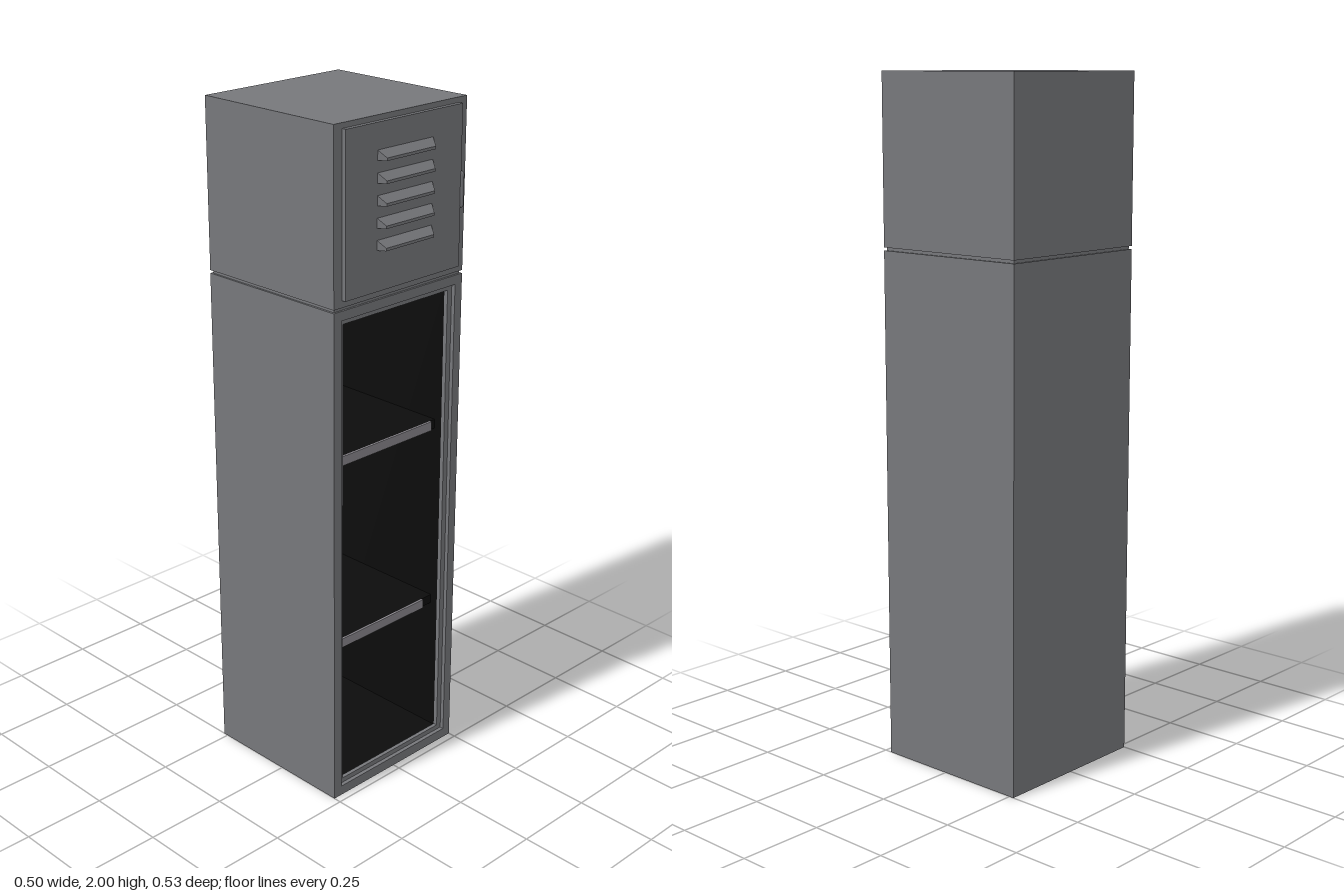
import * as THREE from 'three';

const steel = new THREE.MeshStandardMaterial({ color: 0x76777b });
steel.name = 'steel grey';
const dark = new THREE.MeshStandardMaterial({ color: 0x0c0c0c });
dark.name = 'interior black';
const edge = new THREE.MeshStandardMaterial({ color: 0x89868c });
edge.name = 'shelf edge grey';

function add(parent, name, geometry, material) {
  const mesh = new THREE.Mesh(geometry, material);
  mesh.name = name;
  parent.add(mesh);
  return mesh;
}

// Box given by its minimum and maximum corners
function box(parent, name, [x0, y0, z0], [x1, y1, z1], material = steel) {
  const mesh = add(parent, name, new THREE.BoxGeometry(x1 - x0, y1 - y0, z1 - z0), material);
  mesh.position.set((x0 + x1) / 2, (y0 + y1) / 2, (z0 + z1) / 2);
  return mesh;
}

// Rectangular frame with a rectangular hole, from z0 to z1
function frame(parent, name, [ox, oy0, oy1], [ix, iy0, iy1], z0, z1) {
  const rect = (T, x, a, b) => new T([[-x, a], [x, a], [x, b], [-x, b]].map(p => new THREE.Vector2(...p)));
  const shape = rect(THREE.Shape, ox, oy0, oy1);
  shape.holes.push(rect(THREE.Path, ix, iy0, iy1));
  const geometry = new THREE.ExtrudeGeometry(shape, { depth: z1 - z0, bevelEnabled: false });
  add(parent, name, geometry, steel).position.z = z0;
}

// Hood louvre: sloping top, narrow front lip, tapered ends and a dark underside
function louvreGeometry() {
  const w = 0.105, t = 0.092, back = 0.239, front = 0.262;
  const corners = [
    [-w, 0.014, back], [w, 0.014, back], [w, -0.014, back], [-w, -0.014, back],
    [-t, -0.006, front], [t, -0.006, front], [t, -0.014, front], [-t, -0.014, front],
  ];
  const quads = [[0, 4, 5, 1], [4, 7, 6, 5], [0, 3, 7, 4], [1, 5, 6, 2], [3, 2, 6, 7]];
  const points = quads.flatMap(([a, b, c, d]) => [a, b, c, a, c, d]).flatMap(i => corners[i]);
  const geometry = new THREE.BufferGeometry();
  geometry.setAttribute('position', new THREE.Float32BufferAttribute(points, 3));
  geometry.computeVertexNormals();
  geometry.addGroup(0, 24, 0);
  geometry.addGroup(24, 6, 1);
  return geometry;
}

export function createModel() {
  const locker = new THREE.Group();
  locker.name = 'locker';
  const W = 0.25, back = -0.265, front = 0.227;

  // Closed upper compartment and the recessed seam below it
  box(locker, 'upperCompartment', [-W, 1.512, back], [W, 2, front]);
  box(locker, 'seam', [-W + 0.006, 1.5, back + 0.006], [W - 0.006, 1.514, front - 0.006]);

  // Lower cabinet shell
  const cabinet = new THREE.Group();
  cabinet.name = 'lowerCabinet';
  locker.add(cabinet);
  const H = 1.503, shellFront = front - 0.024;
  for (const s of [-1, 1]) {
    const [a, b] = [s * W, s * 0.21].sort((p, q) => p - q);
    box(cabinet, 'sideWall', [a, 0, back], [b, H, shellFront]);
  }
  box(cabinet, 'backWall', [-0.21, 0, back], [0.21, H, back + 0.012]);
  box(cabinet, 'floor', [-0.21, 0, back + 0.012], [0.21, 0.035, shellFront]);
  box(cabinet, 'ceiling', [-0.21, 1.47, back + 0.012], [0.21, H, shellFront]);

  // Stepped frame round the opening
  frame(cabinet, 'outerFrame', [W, 0, H], [0.222, 0.03, 1.476], front - 0.012, front);
  frame(cabinet, 'innerFrame', [W, 0, H], [0.205, 0.045, 1.46], front - 0.024, front - 0.012);

  // Dark lining
  const z0 = back + 0.012;
  box(cabinet, 'backLining', [-0.21, 0.035, z0], [0.21, 1.47, z0 + 0.005], dark);
  box(cabinet, 'leftLining', [0.205, 0.035, z0], [0.21, 1.47, shellFront], dark);
  box(cabinet, 'rightLining', [-0.21, 0.035, z0], [-0.205, 1.47, shellFront], dark);
  box(cabinet, 'floorLining', [-0.205, 0.035, z0], [0.205, 0.042, shellFront], dark);
  box(cabinet, 'ceilingLining', [-0.205, 1.463, z0], [0.205, 1.47, shellFront], dark);

  // Shelves with pale front edges
  for (const [y, right] of [[0.475, 0.165], [1.047, 0.185]]) {
    box(cabinet, 'shelf', [-0.205, y - 0.014, z0], [0.205, y + 0.014, 0.178], dark);
    box(cabinet, 'shelfEdge', [-0.205, y - 0.014, 0.178], [right, y + 0.014, 0.184], edge);
  }

  // Door of the upper compartment
  const door = new THREE.Group();
  door.name = 'door';
  locker.add(door);
  box(door, 'doorPanel', [-0.22, 1.532, front], [0.22, 1.985, 0.24]);
  const louvre = louvreGeometry();
  for (let i = 0; i < 5; i++) {
    add(door, 'louvre', louvre, [steel, dark]).position.y = 1.66 + i * 0.06;
  }

  // Rounded pull at the door edge
  const pull = add(door, 'doorPull', new THREE.CapsuleGeometry(0.009, 0.085, 6, 16), steel);
  pull.position.set(0.225, 1.748, 0.235);

  return locker;
}
